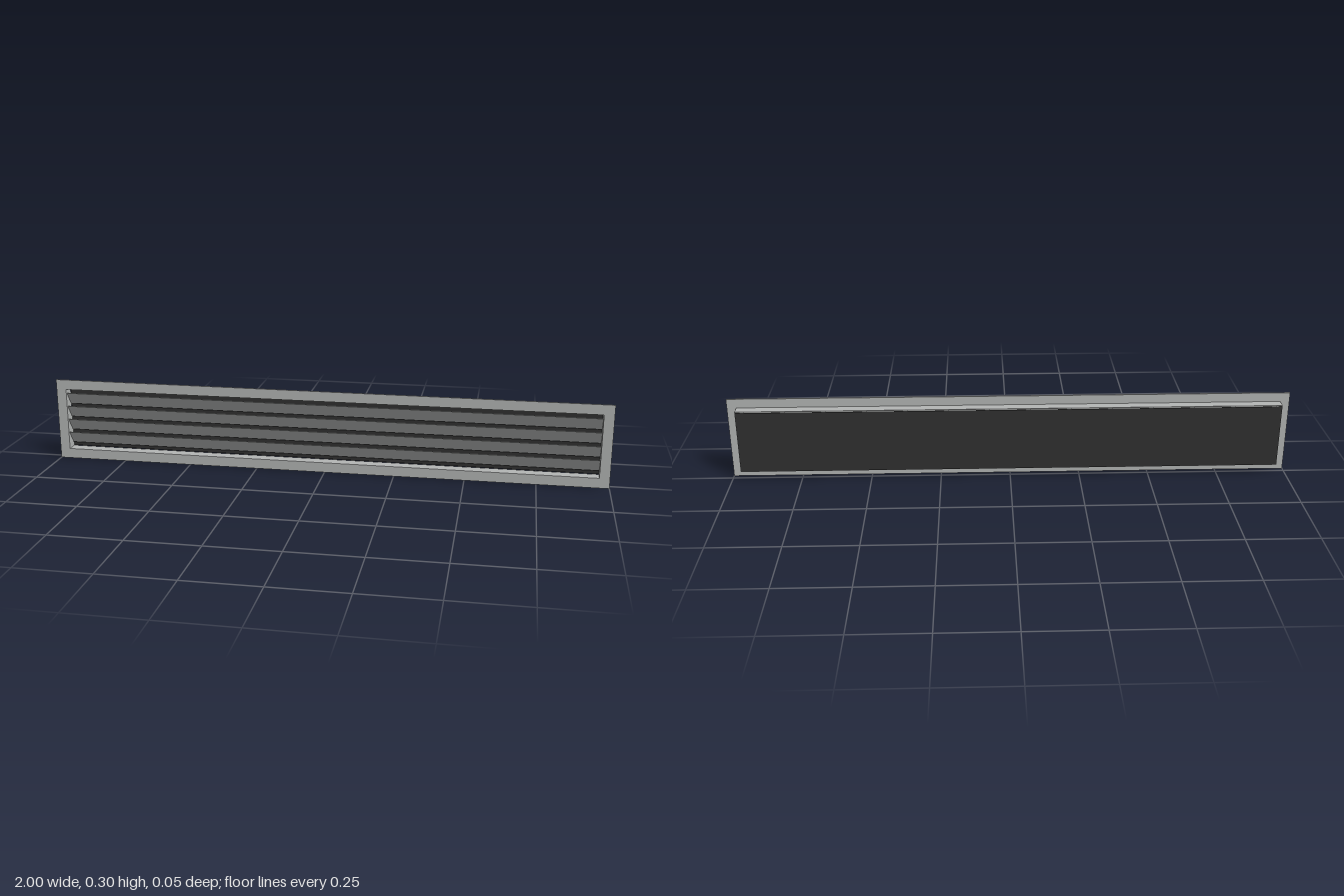
import * as THREE from 'three';

const MID_Y = 0.15;

export function createModel() {
  const metal = new THREE.MeshStandardMaterial({ color: 0xb4b6b5 });
  metal.name = 'grey metal';
  const dark = new THREE.MeshStandardMaterial({ color: 0x303030 });
  dark.name = 'dark backing';

  const group = new THREE.Group();
  group.name = 'ventGrille';
  const add = (name, geometry, material, y, z) => {
    const mesh = new THREE.Mesh(geometry, material);
    mesh.name = name;
    mesh.position.set(0, y, z);
    group.add(mesh);
    return mesh;
  };

  const rect = (Type, w, h) => new Type([
    new THREE.Vector2(-w / 2, -h / 2), new THREE.Vector2(w / 2, -h / 2),
    new THREE.Vector2(w / 2, h / 2), new THREE.Vector2(-w / 2, h / 2),
  ]);
  // Rectangular ring extruded along z
  const ring = (w, h, innerW, innerH, depth) => {
    const shape = rect(THREE.Shape, w, h);
    shape.holes.push(rect(THREE.Path, innerW, innerH));
    return new THREE.ExtrudeGeometry(shape, { depth, bevelEnabled: false });
  };

  // Flat front border and the duct collar behind it
  add('flange', ring(2, 0.3, 1.928, 0.228, 0.0055), metal, MID_Y, 0.0175);
  add('collar', ring(1.934, 0.234, 1.928, 0.228, 0.0365), metal, MID_Y, -0.019);

  // Thin dark sheet closing the back, with a narrow gap to the collar
  add('backPanel', new THREE.BoxGeometry(1.93, 0.228, 0.001), dark, MID_Y, -0.0225);

  // Four slats, front edges raised
  const slat = new THREE.BoxGeometry(1.928, 0.002, 0.058);
  for (let i = 0; i < 4; i++) {
    const blade = add('louver' + (i + 1), slat, metal, MID_Y + (i - 1.5) * 0.05, 0);
    blade.rotation.x = -THREE.MathUtils.degToRad(55);
  }
  return group;
}
